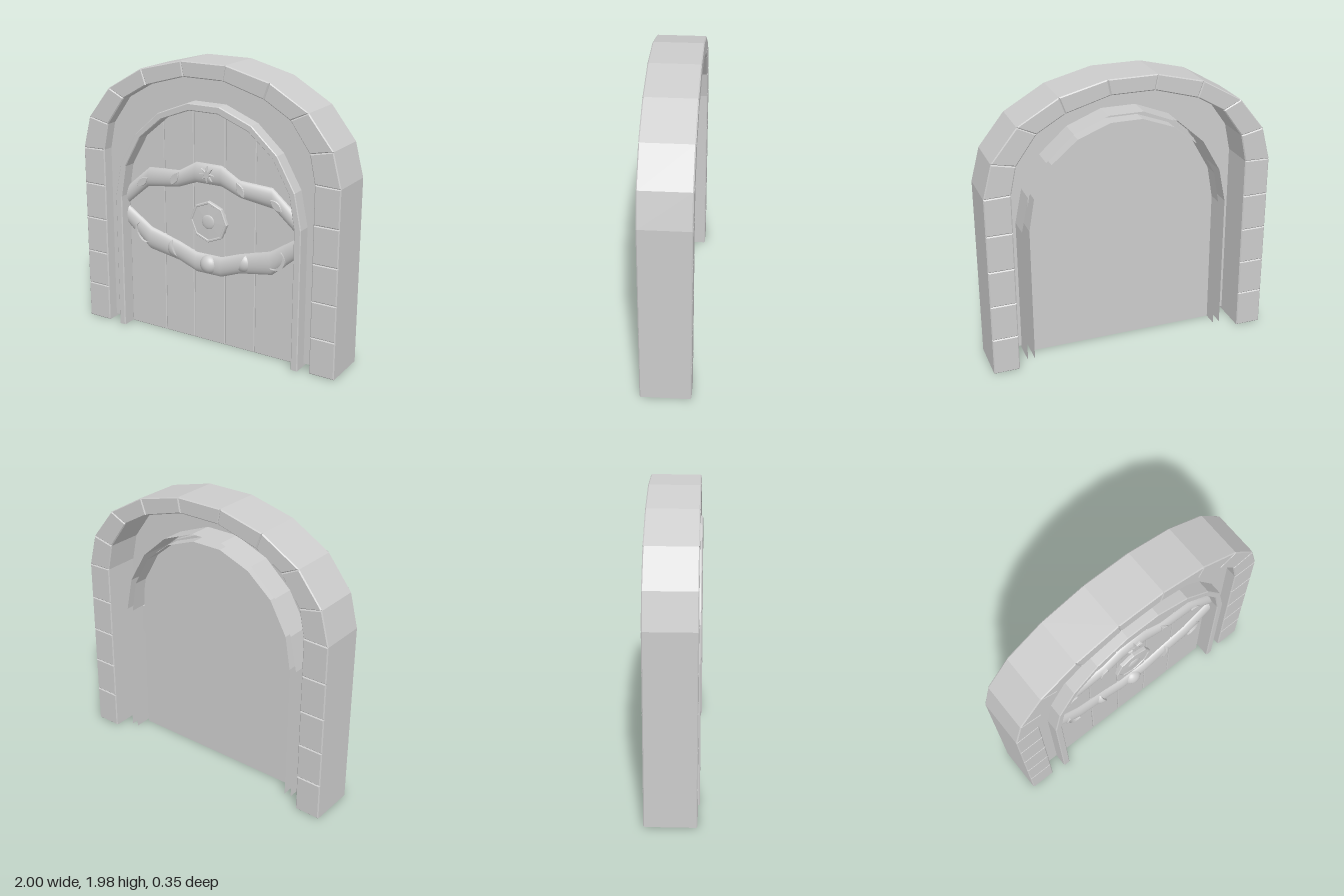
import * as THREE from 'three';

const stone = new THREE.MeshStandardMaterial({ color: 0xcccccc });
const thin = new THREE.MeshStandardMaterial({ color: 0xcccccc, side: THREE.DoubleSide });
const lerp = THREE.MathUtils.lerp;
const mirror = (pts, c = 0) => pts.map(([x, y]) => [2 * c - x, y]).reverse();

function add(parent, name, geometry, material = stone) {
  const mesh = new THREE.Mesh(geometry, material);
  mesh.name = name;
  parent.add(mesh);
  return mesh;
}

function shapeOf(pts) {
  return new THREE.Shape(pts.map(([x, y]) => new THREE.Vector2(x, y)));
}

// Bevelled slab with the given outline between z0 and z1
function slab(pts, z0, z1, bevel) {
  const geo = new THREE.ExtrudeGeometry(shapeOf(pts), {
    depth: z1 - z0 - 2 * bevel, bevelEnabled: bevel > 0, bevelSegments: 1,
    bevelSize: bevel, bevelThickness: bevel, bevelOffset: -bevel,
  });
  return geo.translate(0, 0, z0 + bevel);
}

function meshGeometry(pos, idx) {
  const geo = new THREE.BufferGeometry();
  geo.setAttribute('position', new THREE.Float32BufferAttribute(pos, 3));
  geo.setIndex(idx);
  return geo;
}

// Flat-sided channel, open at the back, between two mitred ends
function channel(out0, out1, in0, in1, z0, z1) {
  const pos = [], idx = [], c = 0.12;
  for (const [o, n] of [[out0, in0], [out1, in1]]) {
    const at = (t, z) => pos.push(lerp(n[0], o[0], t), lerp(n[1], o[1], t), z);
    at(0, z0); at(0, z1 - 0.006); at(c, z1); at(1 - c, z1); at(1, z1 - 0.006); at(1, z0);
  }
  for (let j = 0; j < 5; j++) idx.push(j, j + 1, j + 7, j, j + 7, j + 6);
  const geo = meshGeometry(pos, idx.reverse()).toNonIndexed();
  geo.computeVertexNormals();
  return geo;
}

// Rounded strap lofted between a lower and an upper edge
function strapGeometry(low, high, z, bulge) {
  const n = 12, pos = [], idx = [];
  low.forEach(([lx, ly], i) => {
    for (let j = 0; j <= n; j++) {
      const a = (j / n) * Math.PI, t = (1 - Math.cos(a)) / 2;
      pos.push(lerp(lx, high[i][0], t), lerp(ly, high[i][1], t), z + bulge * Math.sin(a));
      if (i < low.length - 1 && j < n) {
        const p = i * (n + 1) + j, q = p + n + 1;
        idx.push(p, q, q + 1, p, q + 1, p + 1);
      }
    }
  });
  const geo = meshGeometry(pos, idx);
  geo.computeVertexNormals();
  return geo;
}

// Half ball: vertices left of the cut are pushed onto a flat face
function halfBall(r) {
  const geo = new THREE.SphereGeometry(r, 24, 16);
  const p = geo.attributes.position, n = geo.attributes.normal;
  for (let i = 0; i < p.count; i++) {
    if (p.getX(i) < -1e-4) {
      p.setX(i, 0);
      n.setXYZ(i, -1, 0, 0);
    }
  }
  return geo;
}

// Outline points along an arc
function arc(r, a0, a1, sx = 1) {
  return Array.from({ length: 15 }, (_, i) => {
    const a = lerp(a0, a1, i / 14);
    return [Math.cos(a) * r * sx, Math.sin(a) * r];
  });
}

export function createModel() {
  const model = new THREE.Group();
  model.name = 'archedDoor';

  // Stone arch: outlines run from one foot over the top to the other
  const rows = [0, 0.263, 0.516, 0.773, 1.031];
  const outHalf = [...rows.map(y => [1, y]), [1, 1.29], [0.94, 1.52], [0.765, 1.74], [0.49, 1.9], [0.17, 1.98]];
  const inHalf = [...rows.map(y => [0.82, y]), [0.82, 1.295], [0.78, 1.485], [0.64, 1.68], [0.45, 1.79], [0.15, 1.875]];
  const outer = [...outHalf, ...mirror(outHalf)];
  const inner = [...inHalf, ...mirror(inHalf)];
  const arch = new THREE.Group();
  arch.name = 'stoneArch';
  model.add(arch);
  for (let i = 0; i < outer.length - 1; i++) {
    const block = [outer[i], outer[i + 1], inner[i + 1], inner[i]];
    add(arch, 'archBlock', slab(block, -0.175, 0.163, 0.007));
  }

  // Door frame, slightly off centre
  const fc = 0.01;
  const frameOutHalf = [[0.74, 0], [0.74, 0.98], [0.69, 1.22], [0.56, 1.445], [0.37, 1.615], [0.13, 1.71]];
  const frameInHalf = [[0.69, 0], [0.69, 0.98], [0.65, 1.205], [0.525, 1.425], [0.345, 1.575], [0.12, 1.66]];
  const frameOut = [...frameOutHalf, ...mirror(frameOutHalf, fc)];
  const frameIn = [...frameInHalf, ...mirror(frameInHalf, fc)];
  const frame = new THREE.Group();
  frame.name = 'doorFrame';
  model.add(frame);
  for (let i = 0; i < frameOut.length - 1; i++) {
    add(frame, 'framePiece',
      channel(frameOut[i], frameOut[i + 1], frameIn[i], frameIn[i + 1], -0.085, 0.175), thin);
  }

  // Wall facing between the arch and the frame
  const lift = pts => pts.map(([x, y]) => [x, Math.max(y, 0.02)]);
  const wall = shapeOf([...lift(inner), ...lift(frameOut).reverse()]);
  add(model, 'wallFacing', new THREE.ShapeGeometry(wall).translate(0, 0, 0.08), thin);

  // Door: a backing board and five planks under an arched top
  const crown = [[-0.67, 0.98], [-0.64, 1.215], [-0.515, 1.44], [-0.365, 1.58], [-0.125, 1.68],
    [0.125, 1.68], [0.36, 1.58], [0.535, 1.44], [0.665, 1.215], [0.67, 0.98]];
  const door = new THREE.Group();
  door.name = 'door';
  model.add(door);
  add(door, 'backingBoard',
    slab([[-0.67, 0], ...crown, [0.69, 0.98], [0.69, 0.79], [0.67, 0.77], [0.67, 0]], 0.02, 0.05, 0));
  const seams = [-0.67, -0.365, -0.125, 0.125, 0.36, 0.67];
  for (let i = 0; i < 5; i++) {
    const a = seams[i], b = seams[i + 1], g = 0.002;
    const top = crown.filter(([x]) => x >= a && x <= b)
      .map(([x, y]) => [Math.min(Math.max(x, a + g), b - g), y]);
    add(door, 'plank', slab([[a + g, 0], ...top, [b - g, 0]], 0.045, 0.08, 0.005));
  }

  // Curved straps
  const half = pts => [...mirror(pts), ...pts];
  add(model, 'upperStrap', strapGeometry(
    half([[0.1, 1.15], [0.245, 1.095], [0.5, 1.06], [0.69, 0.9]]),
    half([[0.1, 1.295], [0.24, 1.215], [0.485, 1.203], [0.69, 1.03]]), 0.075, 0.038), thin);
  add(model, 'lowerStrap', strapGeometry(
    half([[0.1, 0.505], [0.245, 0.56], [0.49, 0.6], [0.69, 0.77]]),
    half([[0.1, 0.65], [0.24, 0.7], [0.475, 0.765], [0.69, 0.905]]), 0.075, 0.038), thin);

  // Raised ornaments on the straps
  const place = (name, geo, x, y, turn = 0) => {
    const mesh = add(model, name, geo);
    mesh.position.set(x, y, 0);
    mesh.rotation.z = turn;
  };
  const leaf = [];
  for (let i = 0; i < 16; i++) {
    const a = (i / 16) * Math.PI * 2;
    leaf.push([0.055 * Math.cos(a), 0.026 * Math.sin(a) * Math.abs(Math.sin(a))]);
  }
  const crescent = [...arc(0.075, -1.5, 1.5), ...arc(0.075, 1.5, -1.5, 0.7).slice(1, -1)];
  for (const s of [1, -1]) {
    const flip = a => (s > 0 ? a : Math.PI - a);
    place('leafOrnament', slab(leaf, 0.08, 0.122, 0.003), s * 0.53, 1.095, s * -0.7);
    place('leafOrnament', slab(leaf, 0.08, 0.122, 0.003), s * 0.26, 1.16, s * -1.05);
    place('halfMoonOrnament', halfBall(0.065).scale(1, 1, 0.75).translate(0, 0, 0.085), s * 0.272, 0.645, flip(-0.36));
    place('crescentOrnament', slab(crescent, 0.075, 0.122, 0), s * 0.525, 0.725, flip(-0.55));
  }
  const star = Array.from({ length: 16 }, (_, i) => {
    const a = (i / 16) * Math.PI * 2, r = i % 2 ? 0.025 : 0.058;
    return [r * Math.cos(a), r * Math.sin(a)];
  });
  place('starOrnament', slab(star, 0.08, 0.122, 0.003), 0, 1.225);
  place('fullMoonOrnament', new THREE.SphereGeometry(0.067, 24, 16)
    .scale(1, 1, 0.85).translate(0, 0, 0.085), 0, 0.58);

  // Octagonal knob with a raised rim and a low round centre
  const profile = [[0.147, 0.07], [0.147, 0.1], [0.142, 0.106], [0.132, 0.106], [0.128, 0.1], [0, 0.104]];
  const knob = new THREE.LatheGeometry(profile.map(([r, z]) => new THREE.Vector2(r, z)), 8)
    .rotateX(Math.PI / 2).toNonIndexed();
  knob.computeVertexNormals();
  place('knob', knob, 0.003, 0.89);
  place('knobCentre', new THREE.SphereGeometry(0.05, 20, 12).scale(1, 1, 0.2).translate(0, 0, 0.102), 0.003, 0.89);

  return model;
}
